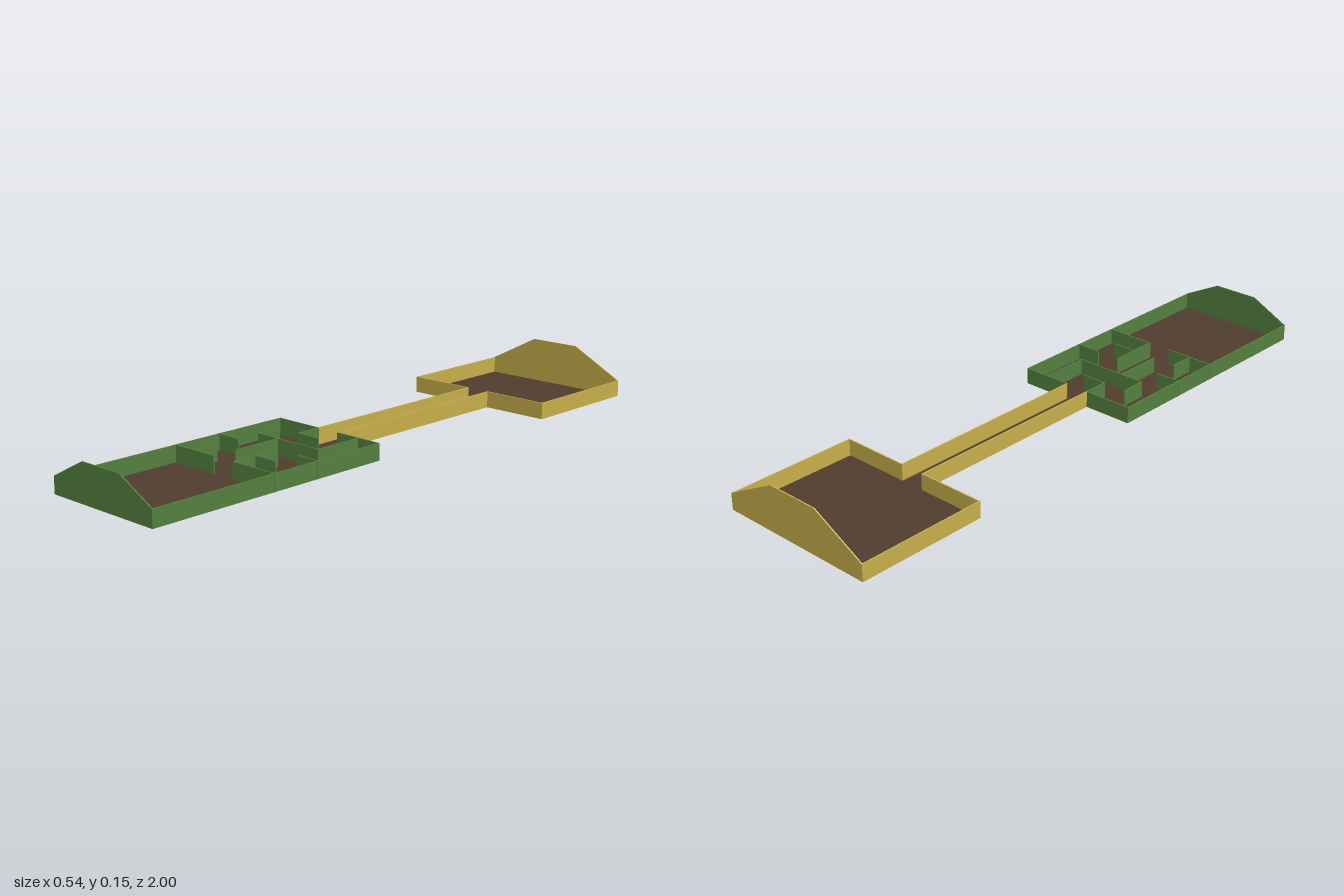
import * as THREE from 'three';

const H = 0.054;   // wall height
const T = 0.004;   // wall thickness
const C = 0.0845;  // maze cell size
const Z0 = 0.148;  // where the corridor meets the maze room
const Z1 = -0.568; // where the corridor meets the end room

const paint = (color) => new THREE.MeshStandardMaterial({ color, side: THREE.DoubleSide, flatShading: true });

export function createModel() {
  const model = new THREE.Group();
  const green = paint(0x54803f), yellow = paint(0xc8b04a), brown = paint(0x4f3c2e);

  const group = (name) => {
    const g = new THREE.Group();
    g.name = name;
    model.add(g);
    return g;
  };
  const add = (parent, name, geometry, material) => {
    const mesh = new THREE.Mesh(geometry, material);
    mesh.name = name;
    parent.add(mesh);
    return mesh;
  };
  // Upright thin wall between two points on the floor plan, along x or z
  const wall = (parent, name, material, xa, za, xb, zb) => {
    const geometry = new THREE.BoxGeometry(Math.abs(xb - xa) + T, H, Math.abs(zb - za) + T);
    add(parent, name, geometry, material).position.set((xa + xb) / 2, H / 2, (za + zb) / 2);
  };
  const floor = (parent, name, halfWidth, za, zb) => {
    const geometry = new THREE.PlaneGeometry(halfWidth * 2, zb - za).rotateX(-Math.PI / 2);
    add(parent, name, geometry, brown).position.set(0, 0.0005, (za + zb) / 2);
  };
  // End wall with a raised, sloped top
  const gable = (parent, name, material, half, topHalf, top, z) => {
    const shape = new THREE.Shape([
      [-half, 0], [half, 0], [half, H], [topHalf, top], [-topHalf, top], [-half, H],
    ].map(([x, y]) => new THREE.Vector2(x, y)));
    const geometry = new THREE.ExtrudeGeometry(shape, { depth: T, bevelEnabled: false });
    add(parent, name, geometry, material).position.z = z;
  };
  // Side walls and the two walls flanking the doorway
  const roomWalls = (parent, material, half, doorZ, endZ) => {
    const edge = half - T / 2;
    for (const s of [-1, 1]) {
      wall(parent, 'sideWall', material, s * edge, doorZ, s * edge, endZ);
      wall(parent, 'doorWall', material, s * C / 2, doorZ, s * edge, doorZ);
    }
  };

  // Maze room
  const mazeRoom = group('mazeRoom');
  floor(mazeRoom, 'mazeFloor', 0.212, Z0, 1);
  roomWalls(mazeRoom, green, 0.212, Z0, 1 - T / 2);
  gable(mazeRoom, 'mazeGable', green, 0.212, 0.08, 0.121, 1 - T);

  // Inner maze walls on a five by five grid: [column, row, column, row]
  const maze = group('mazeWalls');
  [
    [2, 0, 2, 1], [2, 1, 3, 1], [4, 0, 4, 2], [1, 1, 1, 2], [1, 2, 4, 2],
    [2, 2, 2, 4], [0, 3, 1, 3], [4, 3, 5, 3], [3, 3, 3, 5], [3, 4, 4, 4],
    [3, 5, 5, 5], [0, 5, 2, 5], [1, 4, 1, 5],
  ].forEach(([a, b, c, d]) => wall(maze, 'mazeWall', green,
    (a - 2.5) * C, Z0 + b * C, (c - 2.5) * C, Z0 + d * C));

  // Corridor
  const corridor = group('corridor');
  floor(corridor, 'corridorFloor', C / 2, Z1, Z0);
  for (const s of [-1, 1]) wall(corridor, 'corridorWall', yellow, s * C / 2, Z1, s * C / 2, Z0 - T);

  // End room
  const endRoom = group('endRoom');
  floor(endRoom, 'endFloor', 0.272, -1, Z1);
  roomWalls(endRoom, yellow, 0.272, Z1, -1 + T / 2);
  gable(endRoom, 'endGable', yellow, 0.272, 0.09, 0.149, -1);

  return model;
}
